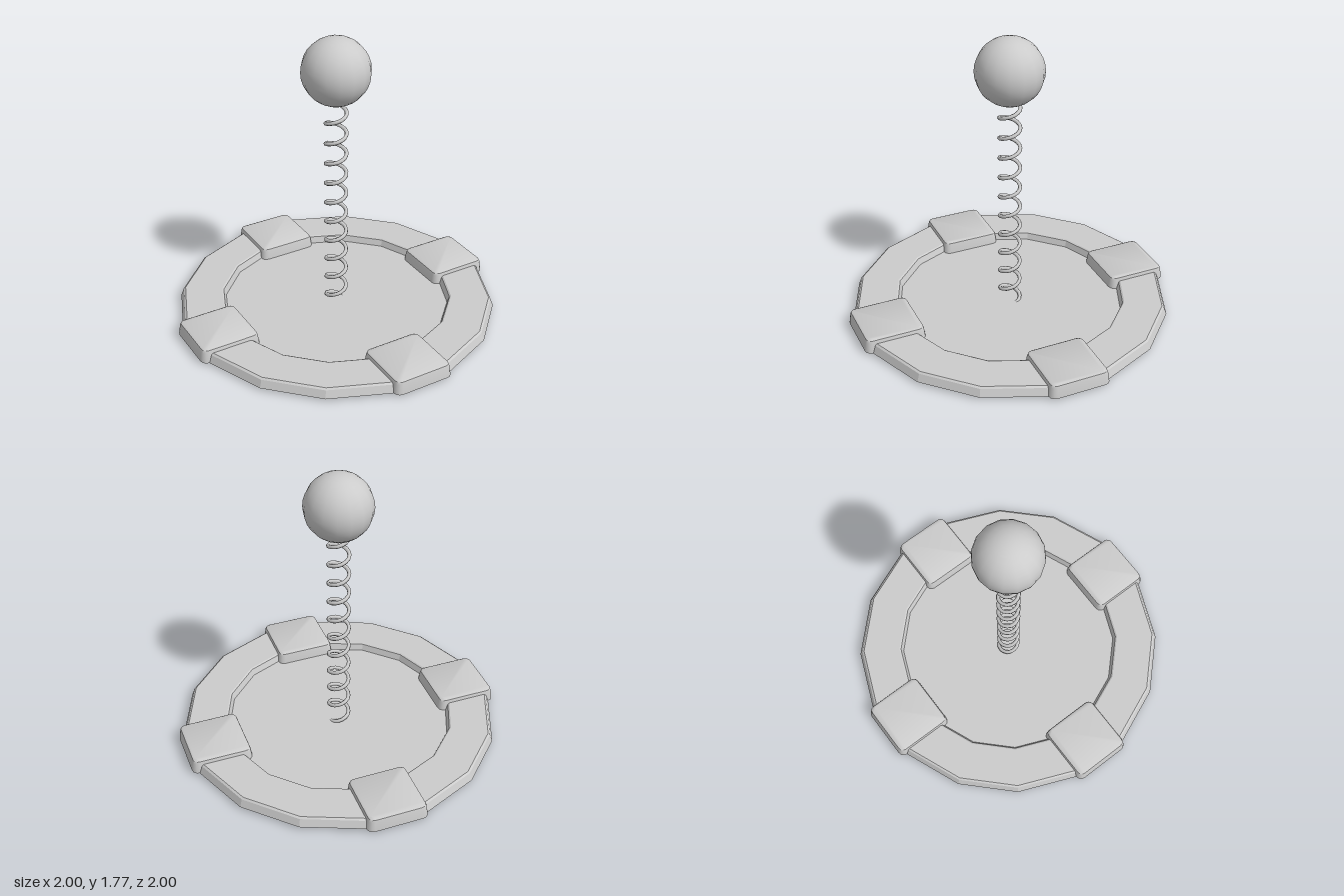
import * as THREE from 'three';
import { toCreasedNormals } from 'three/addons/utils/BufferGeometryUtils.js';

const SIDES = 16;
const PHASE = Math.PI / SIDES;
const material = new THREE.MeshStandardMaterial({ color: 0xcccccc, side: THREE.DoubleSide });

function part(name, geometry) {
  const mesh = new THREE.Mesh(geometry, material);
  mesh.name = name;
  return mesh;
}

// Square outline with rounded corners, running counterclockwise seen from above
function roundedSquare(half, radius, y) {
  const steps = 3;
  const points = [];
  for (let corner = 0; corner < 4; corner++) {
    const middle = Math.PI / 4 + corner * Math.PI / 2;
    const cx = Math.sign(Math.cos(middle)) * (half - radius);
    const cz = Math.sign(Math.sin(middle)) * (half - radius);
    for (let i = 0; i <= steps; i++) {
      const a = corner * Math.PI / 2 + (i / steps) * Math.PI / 2;
      points.push([cx + radius * Math.cos(a), y, -(cz + radius * Math.sin(a))]);
    }
  }
  return points;
}

// Open-bottomed cap: stacked outlines closed by a flat top
function padGeometry() {
  const levels = [[0.19, 0.04, 0.02], [0.182, 0.035, 0.082], [0.177, 0.032, 0.097], [0.163, 0.02, 0.105]];
  const loops = levels.map(([half, radius, y]) => roundedSquare(half, radius, y));
  const n = loops[0].length;
  const positions = loops.flat(2);
  const index = [];
  for (let l = 0; l < loops.length - 1; l++) {
    for (let i = 0; i < n; i++) {
      const a = l * n + i;
      const b = l * n + (i + 1) % n;
      index.push(a, b, b + n, a, b + n, a + n);
    }
  }
  const top = (loops.length - 1) * n;
  for (let i = 1; i < n - 1; i++) index.push(top, top + i, top + i + 1);
  const geometry = new THREE.BufferGeometry();
  geometry.setAttribute('position', new THREE.Float32BufferAttribute(positions, 3));
  geometry.setIndex(index);
  return toCreasedNormals(geometry, 0.7);
}

// Coil rising from the floor to the ball
class Coil extends THREE.Curve {
  getPoint(t, target = new THREE.Vector3()) {
    const a = t * 10.5 * Math.PI * 2;
    return target.set(0.062 * Math.cos(a), 0.015 + t * 1.375, -0.062 * Math.sin(a));
  }
}

export function createModel() {
  const model = new THREE.Group();
  model.name = 'springToy';

  // Floor plate inside the rim
  const floor = new THREE.CircleGeometry(0.75, SIDES, PHASE);
  floor.rotateX(-Math.PI / 2);
  floor.translate(0, 0.03, 0);
  model.add(part('floorPlate', floor));

  // Raised hollow rim, open underneath
  const profile = [[0.98, 0.02], [0.962, 0.067], [0.95, 0.076], [0.718, 0.076], [0.708, 0.07], [0.69, 0.02]]
    .map(([r, y]) => new THREE.Vector2(r, y));
  const rim = new THREE.LatheGeometry(profile, SIDES, PHASE);
  model.add(part('rim', toCreasedNormals(rim, 0.3)));

  // Four pads clipped over the rim
  const pad = padGeometry();
  ['leftPad', 'frontPad', 'rightPad', 'backPad'].forEach((name, i) => {
    const mesh = part(name, pad);
    const a = i * Math.PI / 2;
    mesh.position.set(0.81 * Math.cos(a), 0, 0.81 * Math.sin(a));
    model.add(mesh);
  });

  // Spring
  model.add(part('spring', new THREE.TubeGeometry(new Coil(), 168, 0.012, 6)));

  // Ball
  const ball = part('ball', new THREE.SphereGeometry(0.205, SIDES, SIDES));
  ball.position.y = 1.575;
  model.add(ball);

  return model;
}
